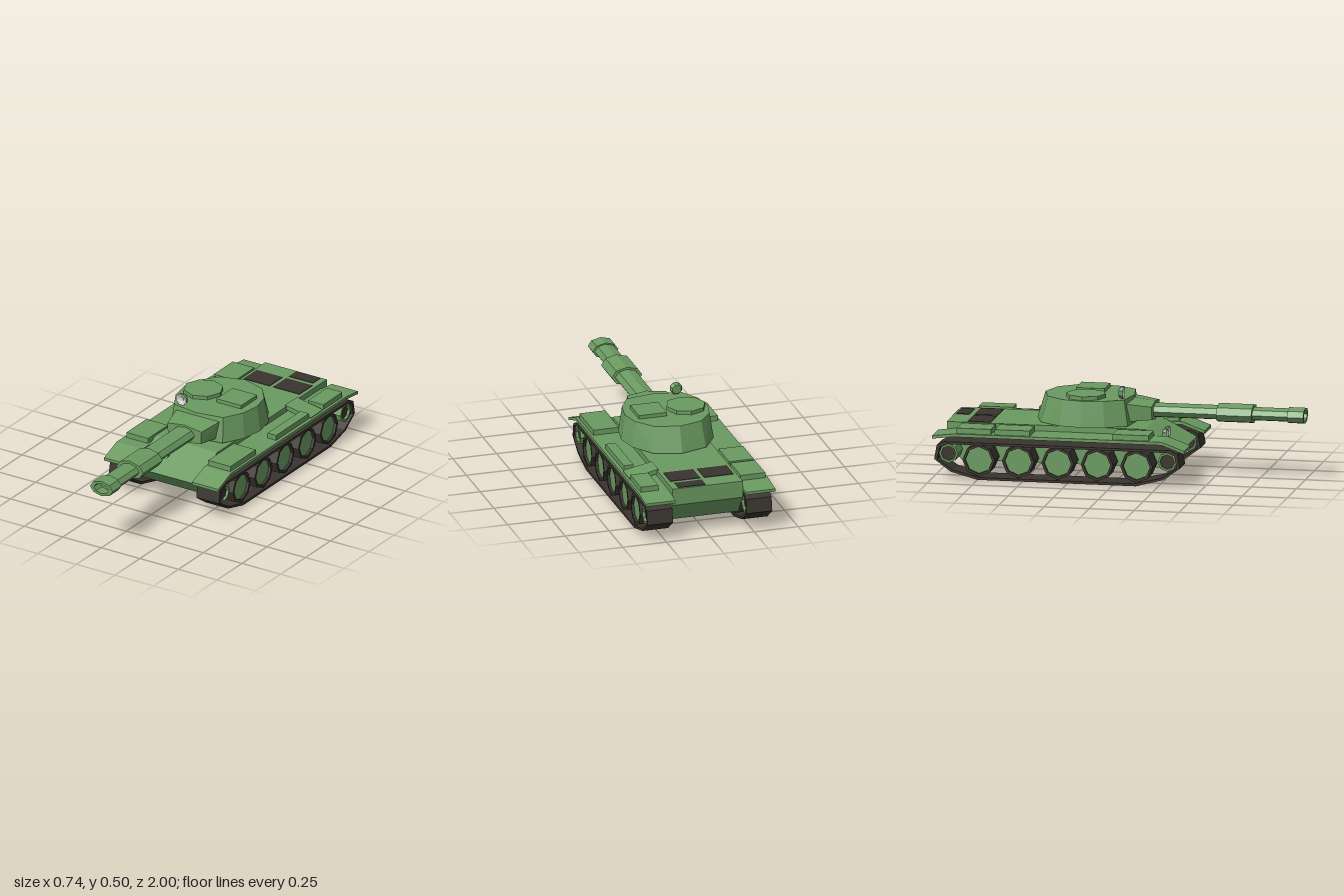
import * as THREE from 'three';
import { ConvexGeometry } from 'three/addons/geometries/ConvexGeometry.js';

const paint = (color) => new THREE.MeshStandardMaterial({ color, flatShading: true });
const green = paint(0x6b9b61);
const dark = paint(0x39342e);
const grey = paint(0xcccccc);

export function createModel() {
  const model = new THREE.Group();

  const add = (name, geometry, material = green, x = 0, y = 0, z = 0, parent = model) => {
    const mesh = new THREE.Mesh(geometry, material);
    mesh.name = name;
    mesh.position.set(x, y, z);
    parent.add(mesh);
    return mesh;
  };
  const v2 = (list) => list.map(([a, b]) => new THREE.Vector2(a, b));

  // Side profile of [z, y] points, extruded across x and centred on it
  const sideExtrude = (profile, width, hole) => {
    const shape = new THREE.Shape(v2(profile));
    if (hole) shape.holes.push(new THREE.Path(v2(hole)));
    return new THREE.ExtrudeGeometry(shape, { depth: width, bevelEnabled: false })
      .translate(0, 0, -width / 2).rotateY(-Math.PI / 2);
  };
  // Box given by its extents
  const boxSpan = (name, x0, x1, y0, y1, z0, z1, material) =>
    add(name, new THREE.BoxGeometry(x1 - x0, y1 - y0, z1 - z0), material,
      (x0 + x1) / 2, (y0 + y1) / 2, (z0 + z1) / 2);
  // Turned profile of [radius, z] points along the z axis
  const turnZ = (profile, start = 0) =>
    new THREE.LatheGeometry(v2(profile), 8, start).rotateX(Math.PI / 2);

  // Hull
  add('hull', sideExtrude([
    [0.148, 0.285], [0.357, 0.175], [0.26, 0.077], [-0.87, 0.077], [-0.95, 0.19], [-0.95, 0.285],
  ], 0.4));

  // Running gear, mirrored left and right
  const fender = sideExtrude([
    [0.4, 0.207], [0.275, 0.253], [-0.88, 0.253], [-1, 0.238],
    [-1, 0.222], [-0.88, 0.236], [0.275, 0.236], [0.4, 0.19],
  ], 0.17);
  const trackOuter = [
    [0.32, 0.205], [0.36, 0.185], [0.374, 0.107], [0.28, 0.04], [0.13, 0], [-0.75, 0],
    [-0.9, 0.04], [-0.99, 0.107], [-0.976, 0.185], [-0.935, 0.205],
  ];
  const trackInner = trackOuter
    .map(([z, y]) => [-0.308 + (z + 0.308) * 0.975, 0.103 + (y - 0.103) * 0.87]).reverse();
  const track = sideExtrude(trackOuter, 0.146, trackInner);
  const ring = (inner, outer, width) => new THREE.LatheGeometry(v2([
    [inner, -width / 2], [outer, -width / 2], [outer, width / 2], [inner, width / 2], [inner, -width / 2],
  ]), 8).rotateZ(Math.PI / 2);
  const disc = (radius, width) => new THREE.CylinderGeometry(radius, radius, width, 8).rotateZ(Math.PI / 2);
  const tyre = ring(0.075, 0.09, 0.13);
  const wheelDisc = disc(0.076, 0.05);
  const endRim = ring(0.041, 0.053, 0.13);
  const endHub = disc(0.042, 0.1);

  for (const [side, s] of [['left', 1], ['right', -1]]) {
    const gear = new THREE.Group();
    gear.name = side + 'RunningGear';
    gear.position.x = s * 0.283;
    model.add(gear);
    add('fender', fender, green, s * 0.002, 0, 0, gear);
    add('track', track, dark, 0, 0, 0, gear);
    for (let i = 0; i < 5; i++) {
      const z = 0.131 - i * 0.219;
      add('tyre', tyre, dark, 0, 0.107, z, gear);
      add('roadWheel', wheelDisc, green, s * 0.025, 0.107, z, gear);
      add('wheelBack', wheelDisc, dark, s * -0.025, 0.107, z, gear);
    }
    for (const z of [0.302, -0.912]) {
      add('sprocketRim', endRim, green, 0, 0.139, z, gear);
      add('sprocketHub', endHub, dark, 0, 0.139, z, gear);
    }
  }

  // Stowage boxes on the fenders: x0, x1, z0, z1
  for (const [x0, x1, z0, z1] of [
    [-0.355, -0.215, -0.865, -0.675],
    [-0.355, -0.215, -0.655, -0.46],
    [-0.355, -0.215, 0, 0.2],
    [0.255, 0.355, -0.865, -0.675],
    [0.295, 0.35, -0.54, -0.21],
    [0.21, 0.355, 0, 0.255],
  ]) boxSpan('stowageBox', x0, x1, 0.245, 0.283, z0, z1);
  // One box leans outward from the hull edge
  boxSpan('tiltedBox', 0.188, 0.357, 0.25, 0.275, -0.665, -0.545).rotation.z = -0.2;

  // Engine grilles on the rear deck
  boxSpan('engineGrille', -0.183, -0.015, 0.28, 0.288, -0.84, -0.71, dark);
  boxSpan('engineGrille', 0.008, 0.178, 0.28, 0.288, -0.84, -0.71, dark);
  boxSpan('engineGrille', 0.008, 0.163, 0.28, 0.288, -0.94, -0.868, dark);

  // Points [a, b] of a half outline, doubled across x = 0
  const mirrored = (outline, place) => outline.flatMap(([x, b]) => [place(x, b), place(-x, b)]);
  const level = (outline, y) => mirrored(outline, (x, z) => new THREE.Vector3(x, y, z));
  const section = (outline, z) => mirrored(outline, (x, y) => new THREE.Vector3(x, y, z));

  // Turret between floor and roof outlines
  const floor = [[0, 0.07], [0.17, 0.047], [0.235, -0.07], [0.257, -0.195], [0.232, -0.32], [0.15, -0.44], [0, -0.487]];
  const roof = [[0, 0.052], [0.158, 0.025], [0.217, -0.08], [0.237, -0.195], [0.212, -0.305], [0.135, -0.402], [0, -0.443]];
  add('turret', new ConvexGeometry([...level(floor, 0.292), ...level(roof, 0.435)]));

  // Gun mantlet tapering forward
  add('gunMantlet', new ConvexGeometry([
    ...section([[0, 0.422], [0.14, 0.408], [0.13, 0.308], [0, 0.289]], 0.03),
    ...section([[0, 0.407], [0.11, 0.391], [0.106, 0.319], [0, 0.303]], 0.168),
  ]));

  // Flattened octagonal gun barrel with sleeve, muzzle and hollow bore
  const barrel = turnZ([
    [0, 0.1], [0.04, 0.1], [0.04, 0.52], [0.052, 0.52], [0.052, 0.715], [0.037, 0.715],
    [0.037, 0.91], [0.044, 0.91], [0.044, 1], [0.029, 1], [0.029, 0.94], [0, 0.94],
  ]).scale(1.67, 1, 1);
  add('gunBarrel', barrel, green, 0, 0.356, 0);

  // Roof hatches
  add('cupola', new THREE.CylinderGeometry(0.11, 0.11, 0.025, 8), green, -0.111, 0.4435, -0.195);
  boxSpan('hatch', 0.023, 0.182, 0.43, 0.456, -0.28, -0.12);

  // Lamps: casing with a dished reflector
  const lamp = (name, x, y, z, r) => {
    const group = new THREE.Group();
    group.name = name;
    group.position.set(x, y, z);
    model.add(group);
    add('lampCasing', turnZ([[0, -0.013], [r * 0.75, -0.013], [r, 0], [r, 0.013]], Math.PI / 8), green, 0, 0, 0, group);
    add('lampReflector', turnZ([[r, 0.013], [r * 0.3, 0], [r * 0.3, 0.006], [0, 0.006]], Math.PI / 8), grey, 0, 0, 0, group);
  };
  lamp('searchlight', -0.119, 0.469, 0.003, 0.035);
  lamp('headlight', -0.135, 0.252, 0.247, 0.031);
  lamp('headlight', -0.074, 0.252, 0.247, 0.031);

  return model;
}
